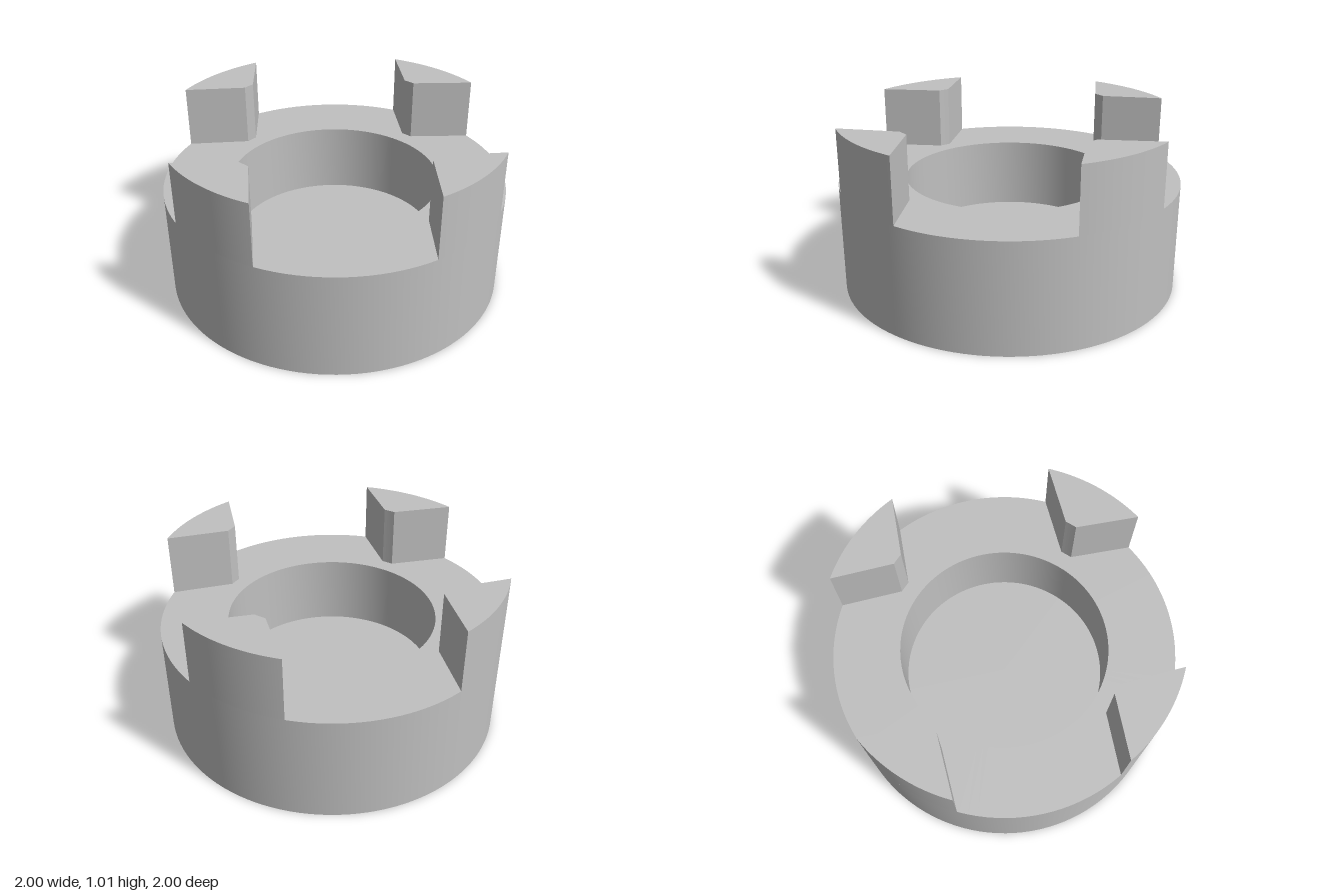
import * as THREE from 'three';
import { toCreasedNormals } from 'three/addons/utils/BufferGeometryUtils.js';

const OUTER = 1, BORE = 0.61, INNER = 0.708;
const FLOOR = 0.215, DECK = 0.64, TOP = 1.01;

export function createModel() {
  const group = new THREE.Group();
  group.name = 'jawCoupling';
  const grey = new THREE.MeshStandardMaterial({ color: 0xc0c0c0 });
  grey.name = 'grey';

  // Round hub with a blind bore, closed at the bottom
  const profile = [
    [0, 0], [OUTER, 0], [OUTER, DECK], [BORE, DECK], [BORE, FLOOR], [0, FLOOR],
  ].map(([r, y]) => new THREE.Vector2(r, y));
  const hub = new THREE.Mesh(toCreasedNormals(new THREE.LatheGeometry(profile, 120), 0.5), grey);
  hub.name = 'hub';
  group.add(hub);

  // Jaw: outer arc, two nearly straight flanks and a short inner arc
  const outerHalf = THREE.MathUtils.degToRad(17.4);
  const innerHalf = THREE.MathUtils.degToRad(2.75);
  const mid = Math.PI / 4;
  const shape = new THREE.Shape();
  shape.absarc(0, 0, OUTER, mid - outerHalf, mid + outerHalf, false);
  shape.absarc(0, 0, INNER, mid + innerHalf, mid - innerHalf, true);
  shape.closePath();
  const extruded = new THREE.ExtrudeGeometry(shape, {
    depth: TOP - DECK, bevelEnabled: false, curveSegments: 12,
  });
  extruded.rotateX(-Math.PI / 2);
  extruded.translate(0, DECK, 0);
  const jawGeometry = toCreasedNormals(extruded, 0.3);

  // Four jaws evenly around the hub
  for (let i = 0; i < 4; i++) {
    const jaw = new THREE.Mesh(jawGeometry, grey);
    jaw.name = `jaw${i + 1}`;
    jaw.rotation.y = (i * Math.PI) / 2;
    group.add(jaw);
  }
  return group;
}
